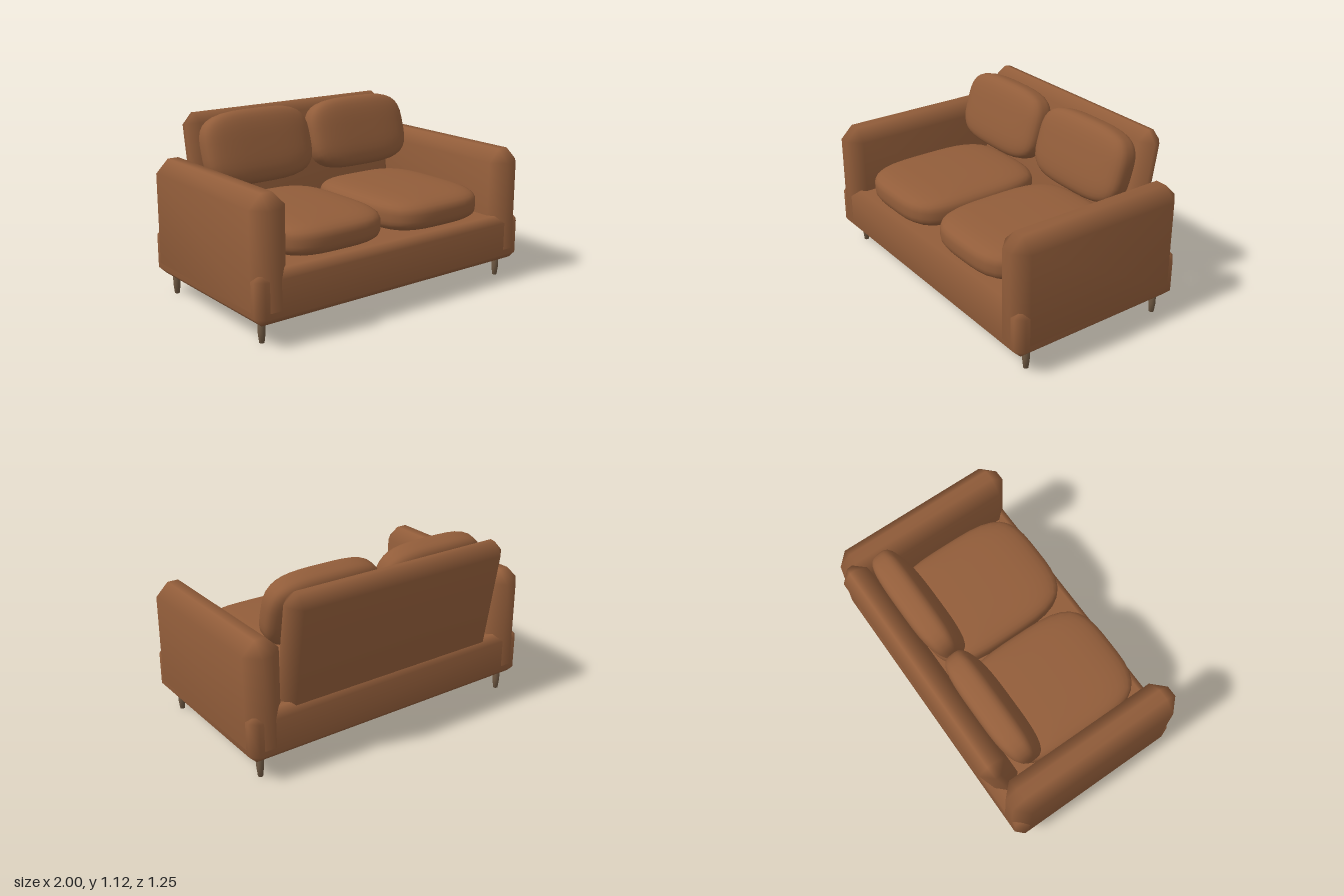
import * as THREE from 'three';
import { mergeVertices } from 'three/addons/utils/BufferGeometryUtils.js';
import { ConvexGeometry } from 'three/addons/geometries/ConvexGeometry.js';

const leather = new THREE.MeshStandardMaterial({ color: 0x925d3a });
const wood = new THREE.MeshStandardMaterial({ color: 0x6e5842 });

// Share vertices so that shading runs smoothly across the bevels
function smooth(geometry) {
  geometry.deleteAttribute('normal');
  geometry.deleteAttribute('uv');
  const merged = mergeVertices(geometry, 1e-4);
  merged.computeVertexNormals();
  return merged;
}

// Box with a single flat chamfer of size c on every edge
function chamferBox(w, h, d, c) {
  const half = [w / 2, h / 2, d / 2];
  const points = [];
  for (const sx of [-1, 1]) for (const sy of [-1, 1]) for (const sz of [-1, 1]) {
    for (let face = 0; face < 3; face++) {
      const p = half.map((s, axis) => (axis === face ? s : s - c));
      points.push(new THREE.Vector3(sx * p[0], sy * p[1], sz * p[2]));
    }
  }
  return smooth(new ConvexGeometry(points));
}

// Plump cushion: a cube pushed onto a superellipsoid
function cushion(w, h, d, n) {
  const g = new THREE.BoxGeometry(2, 2, 2, 10, 10, 10);
  const pos = g.attributes.position;
  const v = new THREE.Vector3();
  for (let i = 0; i < pos.count; i++) {
    v.fromBufferAttribute(pos, i);
    const r = (Math.abs(v.x) ** n + Math.abs(v.y) ** n + Math.abs(v.z) ** n) ** (1 / n);
    pos.setXYZ(i, (v.x / r) * w / 2, (v.y / r) * h / 2, (v.z / r) * d / 2);
  }
  return smooth(g);
}

export function createModel() {
  const sofa = new THREE.Group();
  sofa.name = 'sofa';

  function add(name, geometry, material, x, y, z, tilt = 0) {
    const mesh = new THREE.Mesh(geometry, material);
    mesh.name = name;
    mesh.position.set(x, y, z);
    mesh.rotation.x = tilt;
    sofa.add(mesh);
  }

  // Base, with the arms sunk into its ends
  add('base', chamferBox(1.996, 0.3, 1.168, 0.046), leather, 0, 0.28, 0.036);

  // Leaning backrest
  const lean = -0.168;
  const backHeight = 0.76;
  add('backrest', chamferBox(1.53, backHeight, 0.17, 0.067), leather, 0,
    1.095 - Math.cos(lean) * backHeight / 2, -0.55 - Math.sin(lean) * backHeight / 2, lean);

  const arm = chamferBox(0.23, 0.72, 1.174, 0.08);
  const seat = cushion(0.76, 0.22, 0.94, 3.7);
  const pillow = cushion(0.755, 0.458, 0.205, 3.5);
  const leg = new THREE.LatheGeometry(
    [[0, 0], [0.015, 0], [0.022, 0.06], [0.022, 0.15], [0, 0.15]]
      .map(([r, y]) => new THREE.Vector2(r, y)), 12);

  for (const [side, s] of [['left', 1], ['right', -1]]) {
    add(side + 'Arm', arm, leather, s * 0.885, 0.49, 0.036);
    add(side + 'SeatCushion', seat, leather, s * 0.386, 0.52, 0.11);
    add(side + 'BackCushion', pillow, leather, s * 0.387, 0.89, -0.312, -0.295);
    add(side + 'FrontLeg', leg, wood, s * 0.905, 0, 0.5);
    add(side + 'BackLeg', leg, wood, s * 0.905, 0, -0.455);
  }
  return sofa;
}
